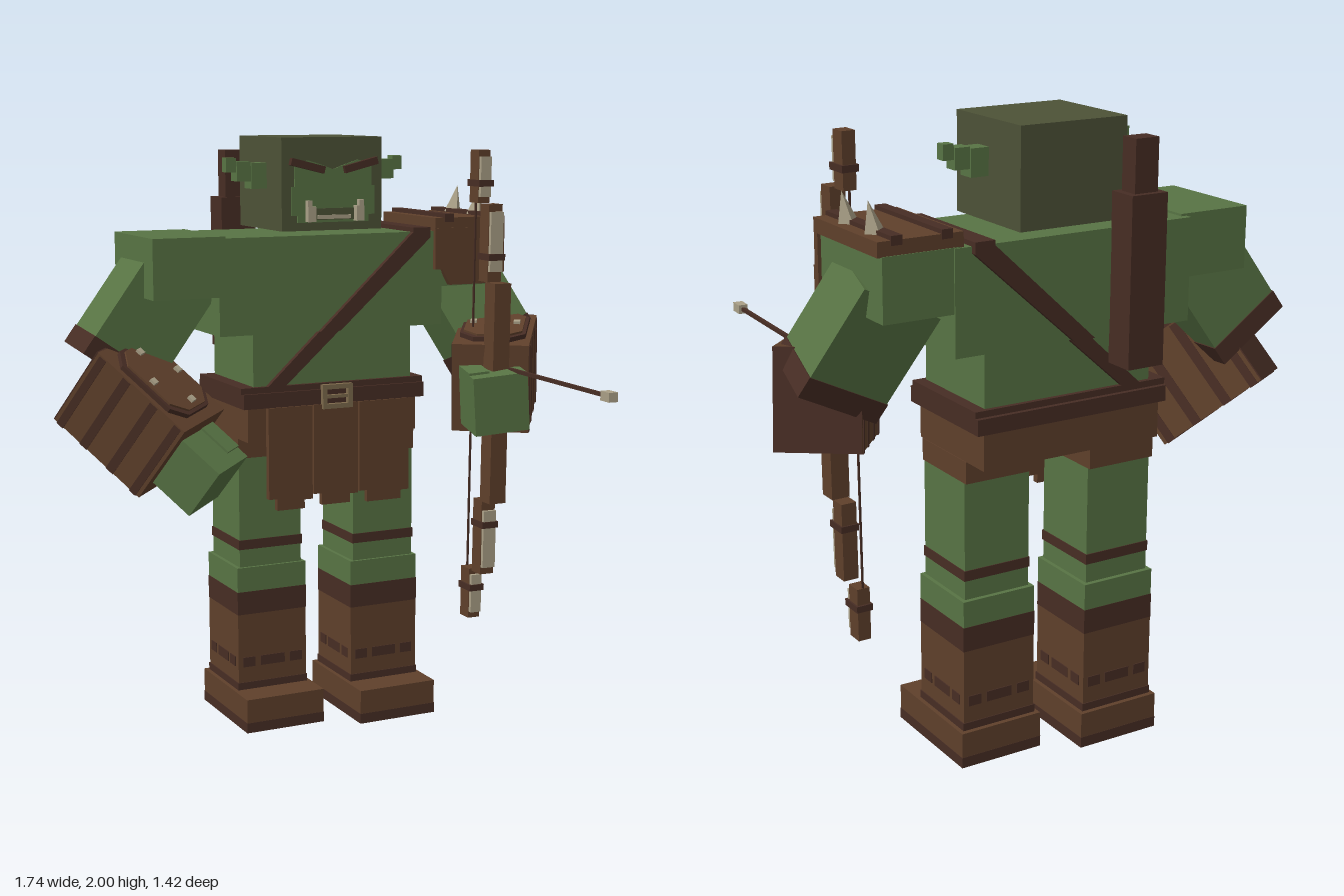
import * as THREE from 'three';

const mat = (name, color) => {
  const m = new THREE.MeshStandardMaterial({ color });
  m.name = name;
  return m;
};

export function createModel() {
  const root = new THREE.Group();
  root.name = 'greenArcher';
  const skin = mat('skin', 0x587444), olive = mat('olive', 0x4d5237), brown = mat('leather', 0x5f402b);
  const dark = mat('darkLeather', 0x472d24), bone = mat('bone', 0xaaa087), brass = mat('buckleMetal', 0x7d6a4c);
  const CX = 0.035; // body midline

  const add = (parent, name, geo, m, x = 0, y = 0, z = 0) => {
    const mesh = new THREE.Mesh(geo, m);
    mesh.name = name;
    mesh.position.set(x, y, z);
    parent.add(mesh);
    return mesh;
  };
  // box from its limits
  const box = (name, m, x0, x1, y0, y1, z0, z1, parent = root) =>
    add(parent, name, new THREE.BoxGeometry(x1 - x0, y1 - y0, z1 - z0), m, (x0 + x1) / 2, (y0 + y1) / 2, (z0 + z1) / 2);
  // flat shape extruded forward
  const plate = (name, m, pts, depth, z = 0, parent = root) => add(parent, name,
    new THREE.ExtrudeGeometry(new THREE.Shape(pts.map(p => new THREE.Vector2(...p))), { depth, bevelEnabled: false }), m, 0, 0, z);
  // group whose local +z runs along dir and +y lies close to up
  const frame = (name, pos, dir, up) => {
    const g = new THREE.Group();
    g.name = name;
    const z = new THREE.Vector3(...dir).normalize();
    const x = new THREE.Vector3(...up).cross(z).normalize();
    g.quaternion.setFromRotationMatrix(new THREE.Matrix4().makeBasis(x, z.clone().cross(x), z));
    g.position.set(...pos);
    root.add(g);
    return g;
  };

  // torso
  box('chest', skin, -0.375, 0.445, 1.36, 1.68, -0.61, -0.225);
  box('abdomen', skin, -0.255, 0.33, 1.15, 1.36, -0.58, -0.235);
  box('hips', brown, -0.28, 0.345, 1.0, 1.12, -0.6, -0.225);
  box('belt', dark, -0.3, 0.37, 1.115, 1.165, -0.61, -0.21);
  box('beltRim', dark, -0.305, 0.37, 1.165, 1.185, -0.595, -0.22);

  // buckle
  const ring = new THREE.Shape([[-0.02, 1.1], [0.09, 1.1], [0.09, 1.182], [-0.02, 1.182]].map(p => new THREE.Vector2(...p)));
  ring.holes.push(new THREE.Path([[-0.004, 1.116], [-0.004, 1.166], [0.074, 1.166], [0.074, 1.116]].map(p => new THREE.Vector2(...p))));
  add(root, 'buckle', new THREE.ExtrudeGeometry(ring, { depth: 0.02, bevelEnabled: false }), brass, 0, 0, -0.212);
  box('bucklePin', brass, -0.01, 0.085, 1.135, 1.146, -0.21, -0.195);

  // hanging loincloth flaps with stepped hems
  [[-0.215, -0.055], [-0.05, 0.115], [0.12, 0.31]].forEach(([a, b], i) => {
    const h = i === 1 ? 0.77 : 0.765, s = 0.03;
    plate('loinclothFlap', brown, [[a, 1.115], [a, h + 0.04], [a + s, h + 0.04], [a + s, h], [b - s, h],
      [b - s, h + 0.03], [b, h + 0.03], [b, 1.115]], 0.022, -0.225);
  });

  // diagonal strap hugging chest and abdomen, front and back, over the shoulder
  const strapUpper = [[0.33, 1.685], [0.39, 1.685], [0.39, 1.66], [0.052, 1.36], [-0.021, 1.36]];
  const strapLower = [[-0.021, 1.36], [0.052, 1.36], [-0.145, 1.185], [-0.21, 1.185]];
  plate('strapFront', dark, strapUpper, 0.02, -0.226);
  plate('strapFrontLower', dark, strapLower, 0.02, -0.236);
  plate('strapBack', dark, strapUpper, 0.02, -0.628);
  plate('strapBackLower', dark, strapLower, 0.02, -0.598);
  box('strapShoulder', dark, 0.325, 0.39, 1.67, 1.695, -0.628, -0.206);

  // long case on the back
  box('backCase', dark, -0.21, -0.085, 1.27, 1.79, -0.71, -0.608);
  box('backHandle', dark, -0.188, -0.107, 1.79, 1.95, -0.69, -0.625);

  // head
  box('head', olive, -0.15, 0.215, 1.695, 2.0, -0.585, -0.23);
  const half = [[0, 1.895], [0.04, 1.91], [0.09, 1.925], [0.14, 1.915], [0.14, 1.84], [0.152, 1.84], [0.152, 1.745],
    [0.13, 1.745], [0.13, 1.722], [0, 1.722]];
  plate('face', skin, [...half.map(([x, y]) => [CX - x, y]), ...half.slice(1, -1).reverse().map(([x, y]) => [CX + x, y])].reverse(), 0.006, -0.231);
  box('mouth', olive, CX - 0.1, CX + 0.1, 1.73, 1.768, -0.23, -0.221);
  box('lowerTeeth', bone, CX - 0.06, CX + 0.06, 1.733, 1.746, -0.23, -0.216);
  for (const s of [-1, 1]) {
    const brow = box('brow', dark, -0.062, 0.062, -0.012, 0.012, -0.012, 0.012);
    brow.position.set(CX + s * 0.097, 1.908, -0.222);
    brow.rotation.z = s * 0.24;
    box('tusk', bone, CX + s * 0.088 - 0.014, CX + s * 0.088 + 0.014, 1.725, 1.775, -0.23, -0.2);
    box('tuskTip', bone, CX + s * 0.094 - 0.008, CX + s * 0.094 + 0.008, 1.775, 1.795, -0.225, -0.205);
    // stepped ears
    [[0.18, 0.24, 1.83, 1.915, 0.03], [0.24, 0.29, 1.855, 1.92, 0.025], [0.29, 0.325, 1.885, 1.932, 0.018]].forEach(([a, b, y0, y1, d]) =>
      box('ear', skin, CX + (s > 0 ? a : -b), CX + (s > 0 ? b : -a), y0, y1, -0.382 - d, -0.382 + d));
  }

  // legs, the left one a short step ahead
  for (const s of [-1, 1]) {
    const leg = new THREE.Group();
    leg.name = s > 0 ? 'leftLeg' : 'rightLeg';
    leg.position.set(CX + s * 0.195, 0, s > 0 ? -0.37 : -0.45);
    root.add(leg);
    const seg = (name, m, w, y0, y1, z0, z1) => box(name, m, -w, w, y0, y1, z0, z1, leg);
    seg('trouserLeg', brown, 0.117, 0.93, 1.0, -0.132, 0.13);
    seg('thigh', skin, 0.114, 0.55, 0.93, -0.118, 0.125);
    seg('thighBand', dark, 0.117, 0.612, 0.645, -0.121, 0.128);
    seg('knee', skin, 0.127, 0.465, 0.55, -0.133, 0.135);
    seg('bootTop', dark, 0.128, 0.385, 0.465, -0.134, 0.136);
    seg('bootShaft', brown, 0.127, 0.115, 0.385, -0.133, 0.135);
    seg('ankleBand', dark, 0.13, 0.118, 0.143, -0.136, 0.138);
    seg('foot', brown, 0.143, 0.035, 0.117, -0.15, 0.247);
    seg('sole', dark, 0.144, 0, 0.035, -0.151, 0.248);
    // worn dashes round the boot
    for (const [a, b] of [[-0.11, -0.065], [-0.045, 0.045], [0.065, 0.11]]) {
      box('bootDash', dark, a, b, 0.198, 0.232, -0.136, 0.138, leg);
      box('bootDashSide', dark, -0.13, 0.13, 0.198, 0.232, a, b, leg);
    }
  }

  // shoulders
  box('rightShoulder', skin, -0.605, -0.355, 1.49, 1.687, -0.587, -0.215);
  box('leftShoulder', skin, 0.425, 0.672, 1.49, 1.682, -0.605, -0.23);

  // shoulder guard with stepped front flap, ridges and spikes
  box('shoulderGuard', brown, 0.412, 0.685, 1.68, 1.725, -0.602, -0.212);
  plate('guardFlap', brown, [[0.412, 1.69], [0.412, 1.55], [0.44, 1.55], [0.47, 1.495], [0.62, 1.495], [0.65, 1.53],
    [0.683, 1.53], [0.683, 1.69]], 0.022, -0.231);
  for (const x of [0.465, 0.625]) box('guardRidge', dark, x - 0.018, x + 0.018, 1.71, 1.738, -0.604, -0.208);
  for (const z of [-0.495, -0.335]) {
    const spike = add(root, 'guardSpike', new THREE.ConeGeometry(0.034, 0.1, 4).toNonIndexed(), bone, 0.645, 1.77, z);
    spike.geometry.computeVertexNormals();
    spike.rotation.z = -0.2;
  }

  // upper arms, bracers and hands
  const arms = [
    { side: 'left', from: [0.55, 1.55, -0.42], to: [0.705, 1.235, -0.305], pos: [0.64, 1.185, -0.185], dir: [-0.57, -0.156, 0.805],
      up: [-0.13, 0.97, 0.19], handPos: [0.525, 1.128, 0.005], handDir: [-0.2, -0.1, 0.97] },
    { side: 'right', from: [-0.465, 1.57, -0.41], to: [-0.69, 1.25, -0.435], pos: [-0.615, 1.105, -0.345], dir: [0.55, -0.63, 0.55],
      up: [0.31, 0.77, 0.56], handPos: [-0.463, 0.935, -0.2], handDir: [0.55, -0.63, 0.55] },
  ];
  for (const { side, from, to, pos, dir, up, handPos, handDir } of arms) {
    const sgn = side === 'left' ? 1 : -1;
    const d = to.map((v, i) => v - from[i]);
    const len = Math.hypot(...d);
    const arm = frame(side + 'UpperArm', from, d, [0, 0, 1]);
    box('upperArm', skin, -0.135, 0.135, -0.113, 0.113, 0, len, arm);
    box('elbowCuff', dark, -0.138, 0.138, -0.116, 0.116, len - 0.065, len + 0.004, arm);

    const fore = frame(side + 'Forearm', pos, dir, up);
    box('bracer', brown, -0.13, 0.13, -0.155, 0.155, -0.192, 0.192, fore);
    box('bracerElbowEnd', dark, -0.13, 0.13, -0.155, 0.155, -0.196, -0.19, fore);
    for (const z of [-0.165, 0.165]) box('bracerBand', dark, -0.133, 0.133, -0.158, 0.15, z - 0.014, z + 0.014, fore);
    for (const z of [-0.06, 0.06]) box('bracerStripe', dark, -0.132, 0.132, -0.157, 0.15, z - 0.016, z + 0.016, fore);
    // eight-sided guard plate with rivets
    const oct = (w, l, c) => [[-w, -l + c], [-w + c, -l], [w - c, -l], [w, -l + c], [w, l - c], [w - c, l], [-w + c, l], [-w, l - c]];
    [[0.112, 0.155, 0.155, dark], [0.1, 0.143, 0.162, brown]].forEach(([w, l, y, m]) => {
      const p = plate('bracerPlate', m, oct(w, l, 0.05), 0.016, 0, fore);
      p.rotation.x = -Math.PI / 2;
      p.position.y = y;
    });
    for (const [x, z] of [[0, -0.115], [0, 0.115], [-0.075, 0], [0.075, 0]])
      box('rivet', bone, x - 0.011, x + 0.011, 0.17, 0.188, z - 0.011, z + 0.011, fore);

    const hand = frame(side + 'Hand', handPos, handDir, up);
    box('fist', skin, -0.095, 0.095, -0.1, 0.1, -0.1, 0.085, hand);
    box('thumb', skin, -sgn * 0.06 - 0.035, -sgn * 0.06 + 0.035, 0.02, 0.108, -0.08, 0.04, hand);
  }

  // bow, mirrored about its grip
  const bow = new THREE.Group();
  bow.name = 'bow';
  bow.position.set(0.532, 1.143, 0);
  bow.rotation.z = -0.013;
  root.add(bow);
  box('bowGrip', brown, -0.031, 0.031, -0.375, 0.375, -0.03, 0.036, bow);
  for (const s of [-1, 1]) {
    const limb = (name, m, w, a, b, z0, z1) => box(name, m, -w, w, s > 0 ? a : -b, s > 0 ? b : -a, z0, z1, bow);
    limb('bowLimb', brown, 0.026, 0.375, 0.635, -0.083, -0.025);
    limb('bowTip', brown, 0.022, 0.635, 0.812, -0.165, -0.108);
    limb('limbBone', bone, 0.024, 0.41, 0.61, -0.03, -0.012);
    limb('tipBone', bone, 0.02, 0.655, 0.79, -0.112, -0.094);
    limb('limbBand', dark, 0.031, 0.448, 0.47, -0.088, -0.008);
    limb('tipBand', dark, 0.028, 0.69, 0.712, -0.172, -0.09);
  }
  box('bowString', dark, -0.003, 0.003, -0.64, 0.64, -0.163, -0.157, bow);

  // nocked arrow
  const arrow = frame('arrow', [0.572, 1.228, -0.16], [-0.035, 0.004, 0.82], [0, 1, 0]);
  box('arrowShaft', dark, -0.006, 0.006, -0.006, 0.006, 0, 0.82, arrow);
  box('arrowHead', bone, -0.016, 0.016, -0.015, 0.015, 0.815, 0.866, arrow);

  return root;
}
